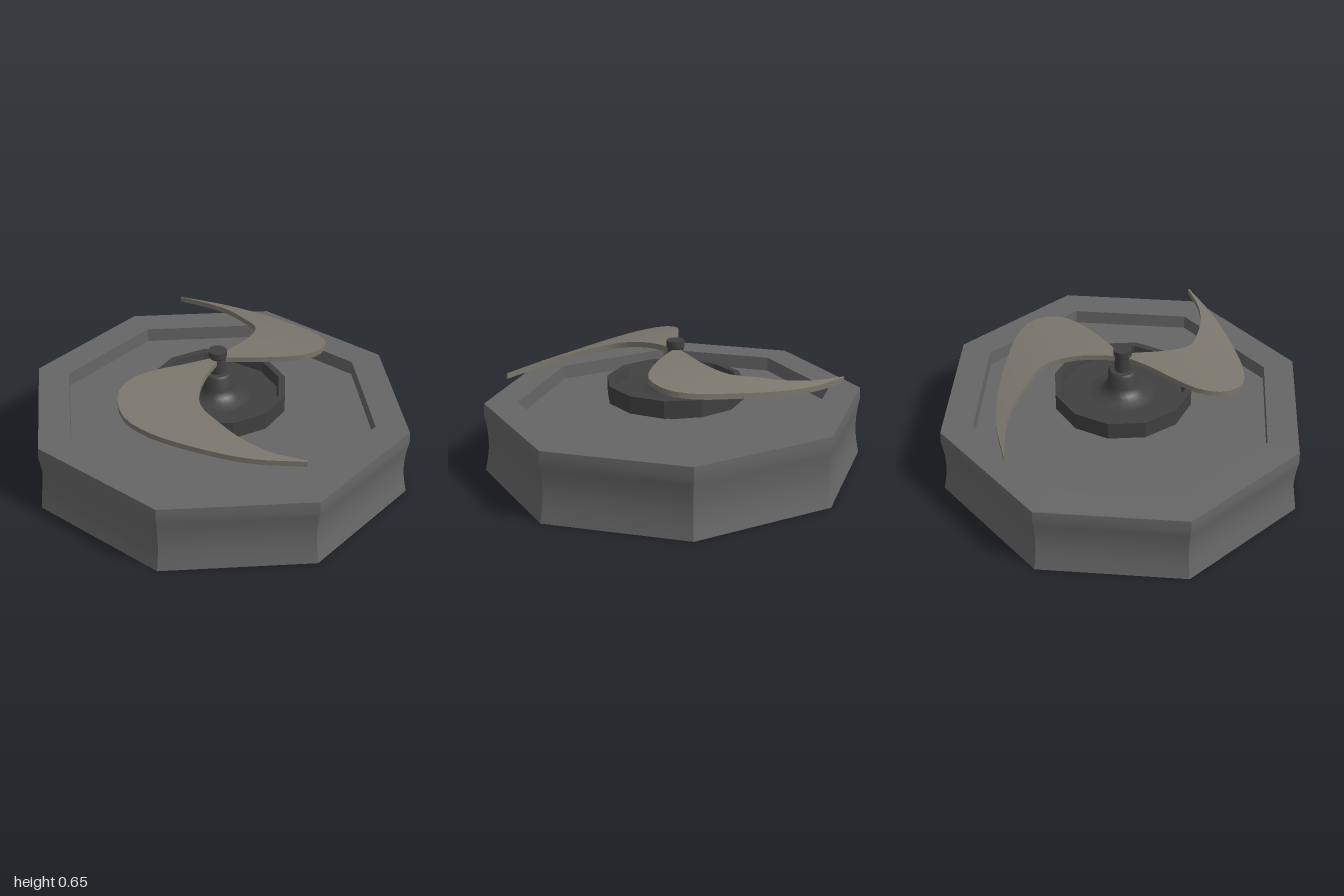
import * as THREE from 'three';
import { toCreasedNormals } from 'three/addons/utils/BufferGeometryUtils.js';

const material = (color) => new THREE.MeshStandardMaterial({ color });
const baseGrey = material(0x666666);
const darkGrey = material(0x404040);
const warmGrey = material(0x7a766c);

// Turned part from [radius, height] pairs, creased where facets meet
function turned(name, pairs, sides, mat, crease = 0.4) {
  const points = pairs.map(([r, y]) => new THREE.Vector2(r, y));
  const mesh = new THREE.Mesh(toCreasedNormals(new THREE.LatheGeometry(points, sides), crease), mat);
  mesh.name = name;
  return mesh;
}

// Curved blade lofted between an outer and an inner edge, drooping away from the hub
function blade(name, outerPts, innerPts, droop) {
  const curve = (pts) => new THREE.CatmullRomCurve3(pts.map(([x, z]) => new THREE.Vector3(x, 0, z)));
  const outer = curve(outerPts);
  const inner = curve(innerPts);
  const geometry = new THREE.BoxGeometry(1, 1, 1, 3, 1, 28);
  const pos = geometry.attributes.position;
  for (let i = 0; i < pos.count; i++) {
    const across = pos.getX(i) + 0.5;
    const along = pos.getZ(i) + 0.5;
    const p = outer.getPointAt(along).lerp(inner.getPointAt(along), across);
    const y = 0.6 - droop * p.z * p.z + pos.getY(i) * 0.028;
    pos.setXYZ(i, p.x, y, p.z);
  }
  const mesh = new THREE.Mesh(toCreasedNormals(geometry, 0.6), warmGrey);
  mesh.name = name;
  return mesh;
}

export function createModel() {
  const group = new THREE.Group();
  group.name = 'bladedDisc';

  // Octagonal base: concave side, upper band, recessed top
  const side = [];
  for (let i = 0; i <= 8; i++) {
    const t = i / 8;
    side.push([1 - 0.02 * Math.sin(Math.PI * t) - 0.004 * t, 0.305 * t]);
  }
  const base = turned('base', [
    [0, 0], ...side, [0.992, 0.36], [0.82, 0.36], [0.82, 0.285], [0, 0.285],
  ], 8, baseGrey);
  base.scale.z = 0.955;
  group.add(base);

  // Twelve-sided dish, carried on a short stem
  group.add(turned('dish', [
    [0, 0.36], [0.353, 0.36], [0.353, 0.45], [0.32, 0.45], [0.31, 0.395], [0, 0.395],
  ], 12, darkGrey));
  group.add(turned('dishStem', [[0.15, 0.285], [0.15, 0.36]], 12, darkGrey));

  // Post with a flared foot
  group.add(turned('post', [
    [0.17, 0.395], [0.12, 0.402], [0.092, 0.42], [0.077, 0.45],
    [0.073, 0.52], [0.064, 0.533], [0, 0.533],
  ], 24, darkGrey, 0.6));

  // Pin and its head
  group.add(turned('pin', [
    [0.04, 0.53], [0.04, 0.615], [0.046, 0.622], [0.046, 0.655], [0, 0.655],
  ], 20, darkGrey, 0.6));

  // Two hooked blades
  group.add(blade('backBlade',
    [[0.02, -0.005], [0.17, -0.05], [0.31, -0.105], [0.43, -0.18], [0.47, -0.25], [0.476, -0.345],
      [0.4, -0.44], [0.2, -0.556], [0, -0.647], [-0.21, -0.706], [-0.44, -0.73]],
    [[0, -0.025], [0.04, -0.11], [0.09, -0.26], [0.086, -0.396], [0, -0.49],
      [-0.13, -0.605], [-0.27, -0.675], [-0.44, -0.724]],
    0.22));
  group.add(blade('frontBlade',
    [[-0.02, 0.01], [-0.13, 0.1], [-0.25, 0.18], [-0.35, 0.27], [-0.385, 0.36], [-0.375, 0.43],
      [-0.31, 0.524], [-0.16, 0.588], [0.2, 0.628], [0.38, 0.625], [0.615, 0.59]],
    [[0.01, 0.025], [-0.01, 0.18], [0, 0.3], [0.035, 0.38], [0.14, 0.455],
      [0.27, 0.524], [0.43, 0.573], [0.615, 0.583]],
    0.29));

  return group;
}
